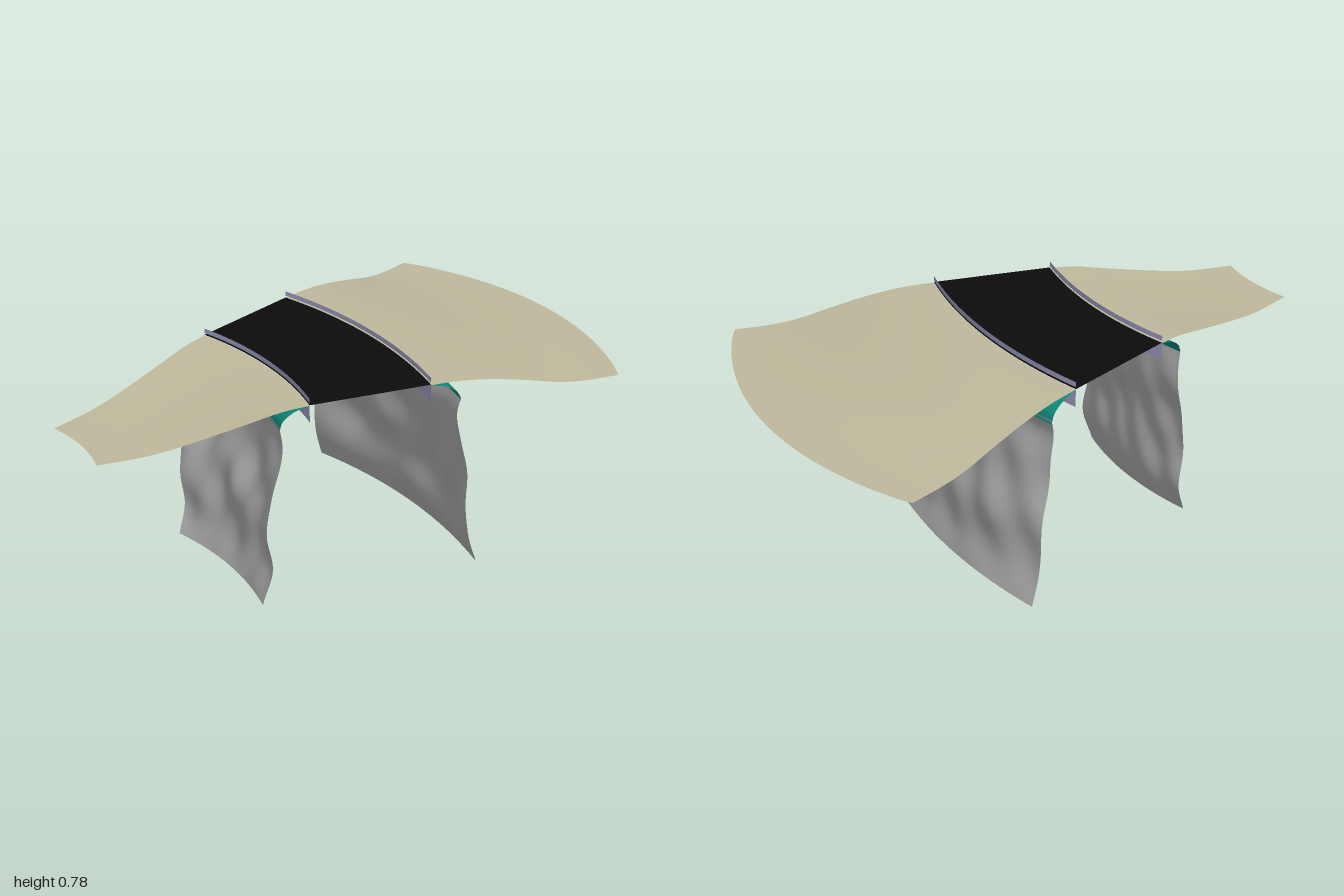
import * as THREE from 'three';

// Every part is a sheet swept 30 degrees around the centre of the bend.
const CX = -1.517, CZ = -0.62, ARC = Math.PI / 6;

function material(name, color) {
  const m = new THREE.MeshStandardMaterial({ color, side: THREE.DoubleSide });
  m.name = name;
  return m;
}

// Sweeps a [radius, height] profile; offset(t, y, r) shifts the radius.
function sweep(name, mat, profile, { steps = 1, offset = () => 0 } = {}) {
  let pts = profile.map(([r, y]) => new THREE.Vector3(r, y, 0));
  if (steps > 1) pts = new THREE.CatmullRomCurve3(pts).getPoints((pts.length - 1) * steps);
  const nA = 40, n = pts.length, pos = [], idx = [];
  for (let i = 0; i <= nA; i++) {
    const t = i / nA, a = t * ARC;
    for (const p of pts) {
      const r = p.x + offset(t, p.y, p.x);
      pos.push(CX + r * Math.cos(a), p.y, CZ + r * Math.sin(a));
    }
  }
  for (let i = 0; i < nA; i++) {
    for (let j = 0; j < n - 1; j++) {
      const a = i * n + j, b = a + n;
      idx.push(a, b, a + 1, b, b + 1, a + 1);
    }
  }
  const g = new THREE.BufferGeometry();
  g.setAttribute('position', new THREE.Float32BufferAttribute(pos, 3));
  g.setIndex(idx);
  g.computeVertexNormals();
  const mesh = new THREE.Mesh(g, mat);
  mesh.name = name;
  return mesh;
}

// Gentle rocky relief, strongest between the two ends of a wall
const rock = (phase) => (t, y) => {
  const f = Math.sin(Math.PI * Math.min(1, Math.max(0, y / 0.68)));
  return f * (0.009 * Math.sin(13 * t + 9 * y + phase)
    + 0.006 * Math.sin(27 * t - 14 * y + 2 * phase)
    + 0.004 * Math.sin(24 * y + 5 * t));
};

export function createModel() {
  const group = new THREE.Group();
  const asphalt = material('asphalt', 0x0c0c0c);
  const sand = material('sand', 0xbfb99c);
  const stone = material('stone', 0xb2b2b2);
  const railing = material('railing', 0xa6a4cc);
  const teal = material('teal', 0x0e8a7a);

  // Road surface
  group.add(sweep('road', asphalt, [[1.32, 0.752], [1.755, 0.752]]));

  // Ground sloping away on both sides
  group.add(sweep('innerGround', sand, [[0.6, 0.665], [0.75, 0.666], [0.84, 0.674],
    [1.06, 0.712], [1.23, 0.744], [1.32, 0.75]], { steps: 4 }));
  group.add(sweep('outerGround', sand, [[1.755, 0.75], [1.86, 0.748], [1.98, 0.734],
    [2.12, 0.706], [2.24, 0.678], [2.34, 0.666], [2.475, 0.665]], {
    steps: 4,
    offset: (t, y, r) => 0.095 * Math.pow(Math.sin(Math.PI * t) + 1e-9, 0.85)
      * THREE.MathUtils.smoothstep(r, 2.1, 2.475),
  }));

  // Guard rails above the road edges and edge beams below them
  for (const [side, r] of [['inner', 1.32], ['outer', 1.755]]) {
    group.add(sweep(side + 'Rail', railing, [[r, 0.777], [r, 0.759]]));
    group.add(sweep(side + 'EdgeBeam', railing, [[r, 0.75], [r, 0.687]]));
  }

  // Curved shoulders joining the road edges to the cliffs
  group.add(sweep('innerShoulder', teal, [[1.214, 0.675], [1.225, 0.705], [1.265, 0.735],
    [1.32, 0.749]], { steps: 3 }));
  group.add(sweep('outerShoulder', teal, [[1.755, 0.749], [1.81, 0.735], [1.855, 0.705],
    [1.868, 0.67]], { steps: 3 }));

  // Rock walls under the ground
  group.add(sweep('innerCliff', stone, [[1.133, 0], [1.165, 0.12], [1.165, 0.27], [1.185, 0.4],
    [1.21, 0.52], [1.218, 0.62], [1.214, 0.685]], { steps: 6, offset: rock(1) }));
  group.add(sweep('outerCliff', stone, [[1.868, 0.685], [1.853, 0.62], [1.868, 0.52],
    [1.885, 0.4], [1.91, 0.25], [1.918, 0.1], [1.945, 0]], { steps: 6, offset: rock(2.6) }));

  return group;
}
